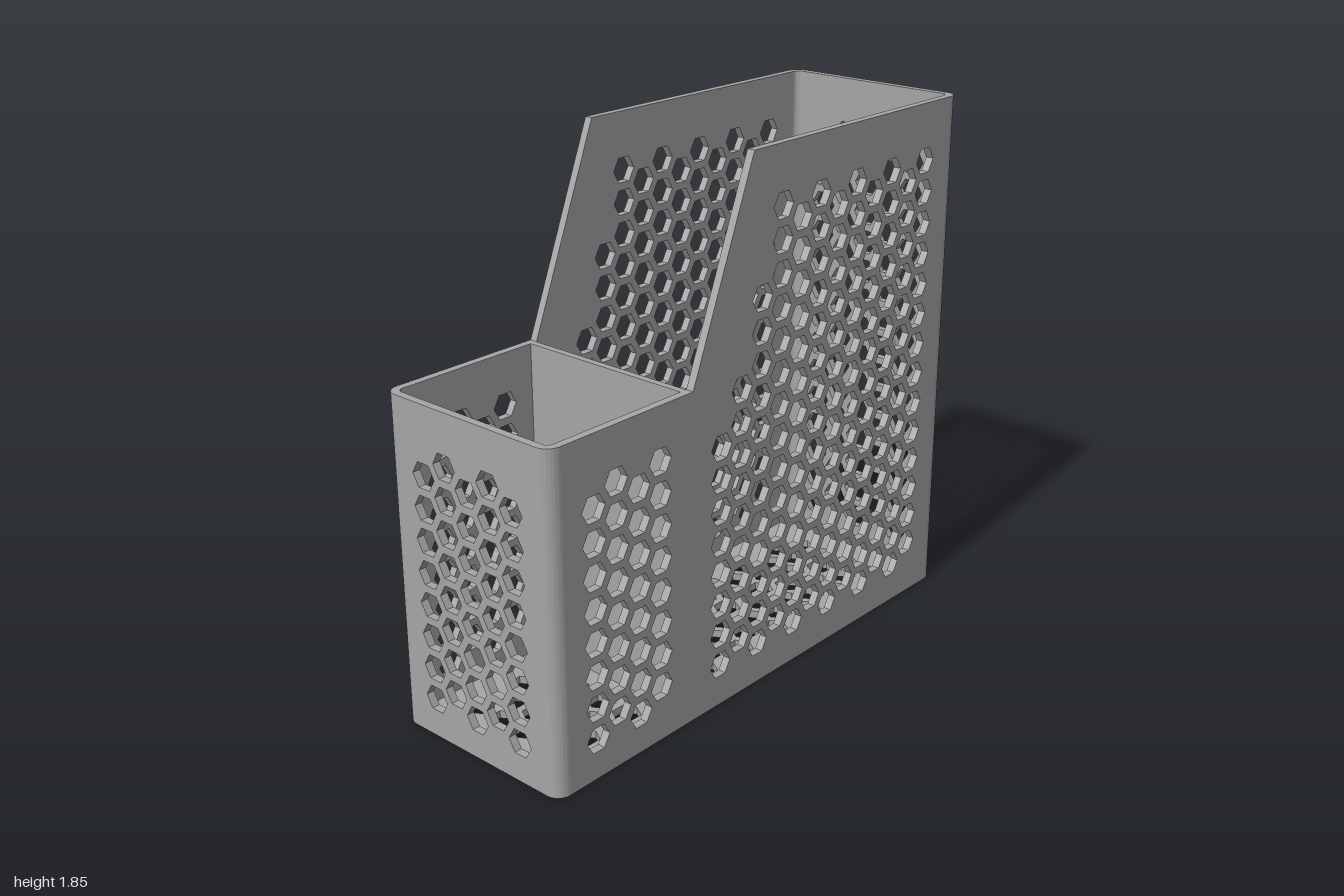
import * as THREE from 'three';
import { toCreasedNormals } from 'three/addons/utils/BufferGeometryUtils.js';

const T = 0.028;            // wall thickness
const R = 0.05;             // outer corner radius
const HX = 1, HZ = 0.356;   // half length and half depth
const LOW = 1.156, HIGH = 1.852;
const HEX = 0.049;          // hole radius, corner to centre
const COL = 0.0962, ROW = 0.1113;

export function createModel() {
  const group = new THREE.Group();
  const grey = new THREE.MeshStandardMaterial({ color: 0xa6a6a6 });
  grey.name = 'grey plastic';

  function add(name, geometry, x = 0, y = 0, z = 0) {
    const mesh = new THREE.Mesh(geometry, grey);
    mesh.name = name;
    mesh.position.set(x, y, z);
    group.add(mesh);
  }

  // Staggered honeycomb of hexagonal holes; rows(i) is the hole count in column i
  function honeycomb(shape, u0, v0, columns, rows) {
    for (let i = 0; i < columns; i++) {
      for (let j = 0; j < rows(i); j++) {
        const u = u0 + i * COL, v = v0 + (j + (i % 2) / 2) * ROW;
        const points = [];
        for (let k = 0; k < 6; k++) {
          const a = -k * Math.PI / 3;
          points.push(new THREE.Vector2(u + HEX * Math.cos(a), v + HEX * Math.sin(a)));
        }
        shape.holes.push(new THREE.Path(points));
      }
    }
  }

  const polygon = (pairs) => new THREE.Shape(pairs.map(([x, y]) => new THREE.Vector2(x, y)));
  const extrude = (shape, depth) =>
    new THREE.ExtrudeGeometry(shape, { depth, bevelEnabled: false, curveSegments: 10 });

  // Long walls with the sloping step
  const ex = HX - R, ez = HZ - R;
  const longWall = polygon([[-ex, 0], [ex, 0], [ex, HIGH], [-0.108, HIGH], [-0.386, LOW], [-ex, LOW]]);
  honeycomb(longWall, -0.823, 0.139, 4, () => 8);
  honeycomb(longWall, -0.249, 0.15, 12, (i) => [8, 9, 12][i] ?? 14);
  add('frontWall', extrude(longWall, T), 0, 0, HZ - T);
  add('backWall', extrude(longWall, T), 0, 0, -HZ);

  // End walls
  function endWall(name, height, v0, rows, x) {
    const shape = polygon([[-ez, 0], [ez, 0], [ez, height], [-ez, height]]);
    honeycomb(shape, -2 * COL, v0, 5, () => rows);
    add(name, extrude(shape, T).rotateY(Math.PI / 2), x);
  }
  endWall('tallEndWall', HIGH, 0.148, 14, HX - T);
  endWall('lowEndWall', LOW, 0.139, 8, -HX);

  // Rounded vertical corners
  for (const sx of [-1, 1]) {
    for (const sz of [-1, 1]) {
      const mid = Math.atan2(-sz, sx), a = mid - Math.PI / 4, b = mid + Math.PI / 4;
      // mid is a diagonal, so the arc spans one quadrant
      const arc = new THREE.Shape();
      arc.absarc(0, 0, R, a, b, false);
      arc.absarc(0, 0, R - T, b, a, true);
      const geometry = extrude(arc, sx > 0 ? HIGH : LOW).rotateX(-Math.PI / 2);
      add('corner', toCreasedNormals(geometry, 0.6), sx * ex, 0, sz * ez);
    }
  }

  // Perforated floor fitted inside the walls
  const ix = HX - T, iz = HZ - T, r = R - T;
  const floor = new THREE.Shape();
  floor.absarc(ix - r, iz - r, r, 0, Math.PI / 2, false);
  floor.absarc(-ix + r, iz - r, r, Math.PI / 2, Math.PI, false);
  floor.absarc(-ix + r, -iz + r, r, Math.PI, Math.PI * 1.5, false);
  floor.absarc(ix - r, -iz + r, r, Math.PI * 1.5, Math.PI * 2, false);
  honeycomb(floor, -0.819, -0.196, 4, () => 4);
  honeycomb(floor, -0.242, -0.196, 12, () => 4);
  add('floor', extrude(floor, T).rotateX(Math.PI / 2), 0, T);

  // Solid divider between the two compartments
  add('divider', new THREE.BoxGeometry(0.025, LOW - T, 2 * iz), -0.4, (LOW + T) / 2, 0);

  return group;
}
